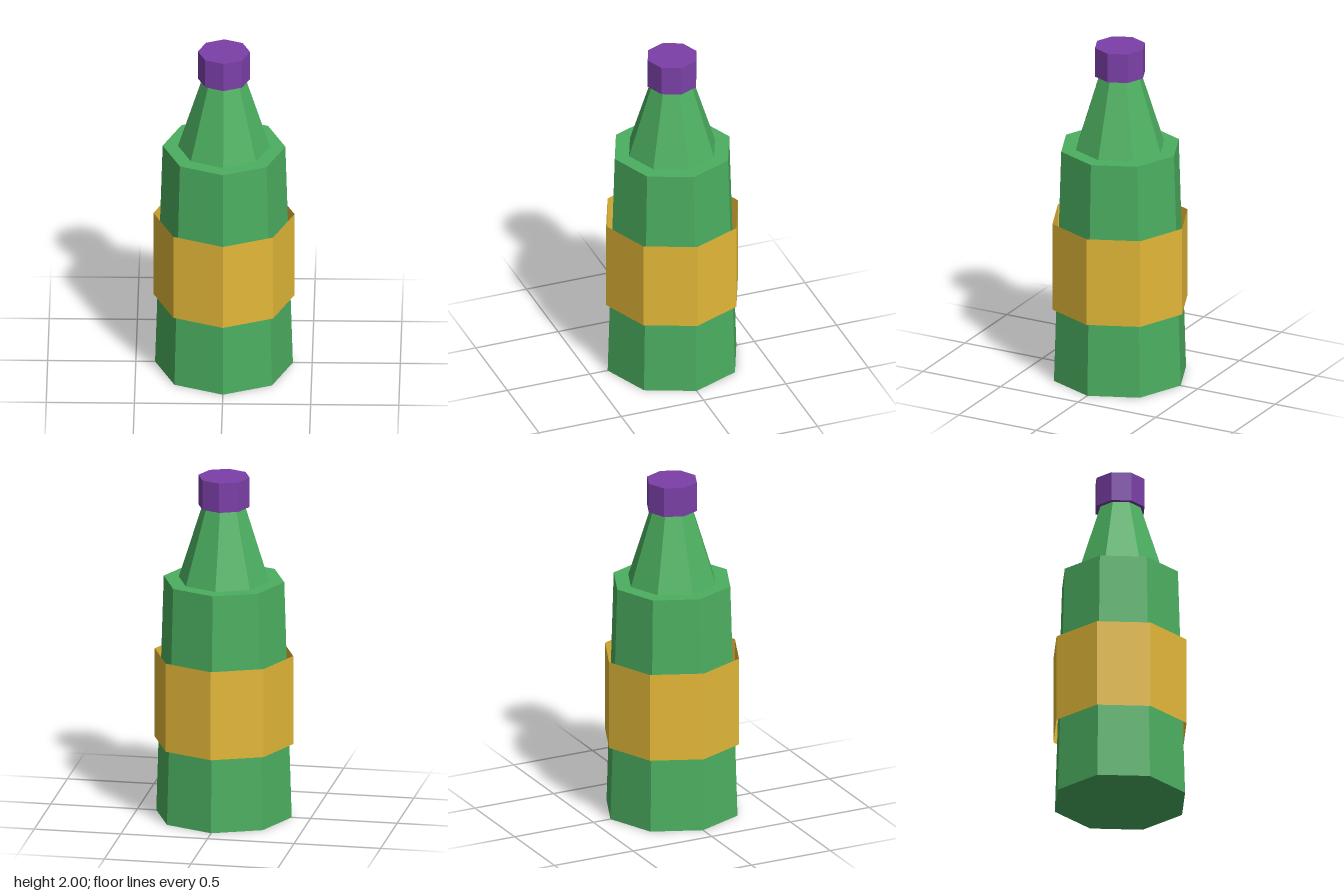
import * as THREE from 'three';

const SIDES = 8;

export function createModel() {
  const group = new THREE.Group();
  const material = (color, side = THREE.FrontSide) =>
    new THREE.MeshStandardMaterial({ color, flatShading: true, side });
  const glass = material(0x4caf60);
  const paper = material(0xe3b838, THREE.DoubleSide);
  const lid = material(0x7b40a8);

  // Eight-sided section standing between two heights
  function section(name, topRadius, bottomRadius, y0, y1, mat, open = false) {
    const geometry = new THREE.CylinderGeometry(topRadius, bottomRadius, y1 - y0, SIDES, 1, open);
    const mesh = new THREE.Mesh(geometry, mat);
    mesh.name = name;
    mesh.position.y = (y0 + y1) / 2;
    group.add(mesh);
  }

  section('body', 0.348, 0.391, 0, 1.391, glass);
  section('neck', 0.122, 0.261, 1.391, 1.83, glass);
  section('cap', 0.148, 0.148, 1.826, 2, lid);
  // Loose open sleeve around the body
  section('label', 0.4, 0.4, 0.435, 0.957, paper, true);

  return group;
}
